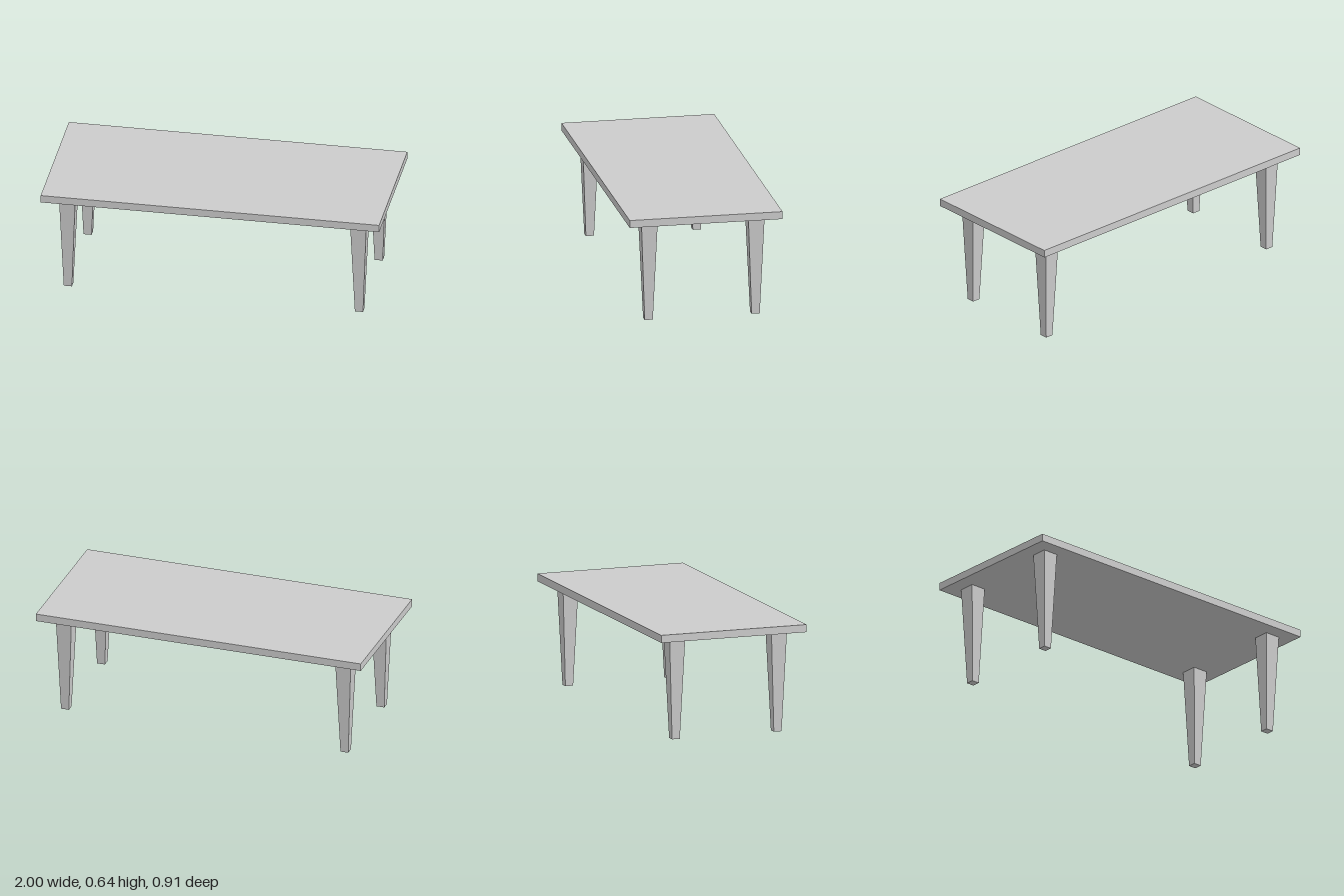
import * as THREE from 'three';

export function createModel() {
  const model = new THREE.Group();
  const material = new THREE.MeshStandardMaterial({ color: 0xcccccc, flatShading: true });

  // Flat rectangular slab
  const topBottom = 0.6, topHeight = 0.045;
  const tableTop = new THREE.Mesh(new THREE.BoxGeometry(2, topHeight, 0.906), material);
  tableTop.name = 'tableTop';
  tableTop.position.y = topBottom + topHeight / 2;
  model.add(tableTop);

  // Square legs tapering towards the floor (four-sided cylinder, sides facing x and z)
  const halfDiagonal = (width) => (width / 2) * Math.SQRT2;
  const legGeometry = new THREE.CylinderGeometry(halfDiagonal(0.097), halfDiagonal(0.048), topBottom, 4);
  legGeometry.rotateY(Math.PI / 4);

  for (const [end, z] of [['front', 0.317], ['back', -0.317]]) {
    for (const [side, x] of [['Left', 0.86], ['Right', -0.86]]) {
      const leg = new THREE.Mesh(legGeometry, material);
      leg.name = `${end}${side}Leg`;
      leg.position.set(x, topBottom / 2, z);
      model.add(leg);
    }
  }
  return model;
}
